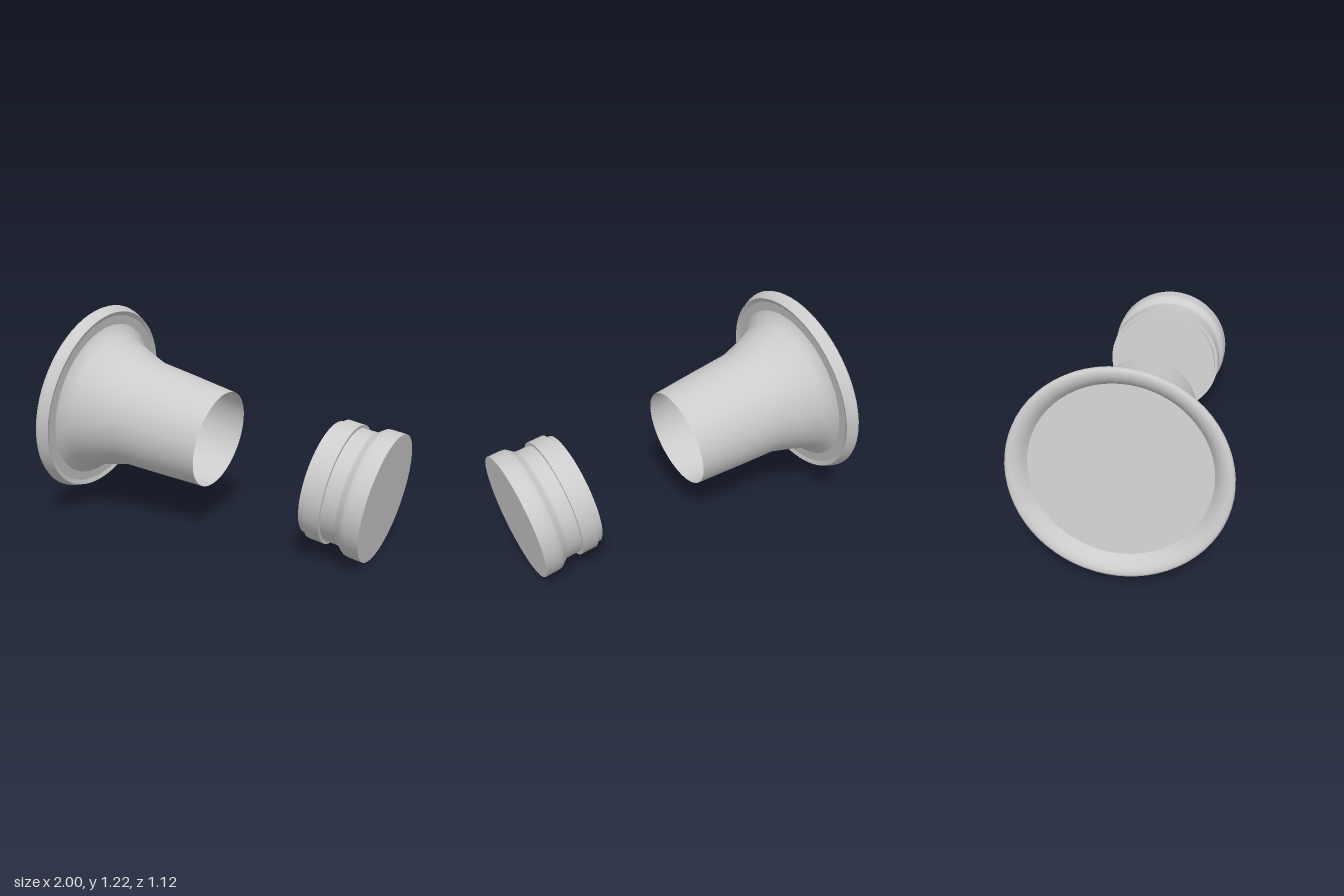
import * as THREE from 'three';

export function createModel() {
  const grey = new THREE.MeshStandardMaterial({ color: 0xcccccc, side: THREE.DoubleSide });
  grey.name = 'light grey';

  // A turned part made of bands: smooth within a band, sharp where bands meet.
  // Each point is [radius, distance along the axis].
  function turned(name, bands) {
    const part = new THREE.Group();
    part.name = name;
    bands.forEach((band, i) => {
      const points = band.map(([r, s]) => new THREE.Vector2(r, s));
      const mesh = new THREE.Mesh(new THREE.LatheGeometry(points, 64), grey);
      mesh.name = `${name}Band${i + 1}`;
      part.add(mesh);
    });
    return part;
  }

  const model = new THREE.Group();
  model.name = 'hornAndCap';

  // Flared tube, open at its narrow end
  const horn = turned('horn', [
    [[0.46, -0.797], [0.444, -0.787], [0.4, -0.746], [0.356, -0.63], [0.315, -0.502], [0.3, -0.27], [0.28, 0]],
  ]);

  // Rounded rim with a dished front and a stepped back
  const rim = turned('rim', [
    [
      [0.46, -0.8], [0.478, -0.828], [0.498, -0.848], [0.521, -0.86], [0.543, -0.863],
      [0.555, -0.857], [0.561, -0.845], [0.557, -0.828], [0.538, -0.787],
    ],
    [[0.538, -0.787], [0.513, -0.797]],
    [[0.513, -0.797], [0.46, -0.797]],
  ]);

  // Flat plate closing the wide end
  const plate = turned('endPlate', [[[0, -0.8], [0.46, -0.8]]]);

  // Separate cap: spigot, raised ring, neck and flared head
  const cap = turned('cap', [
    [[0, 0.657], [0.314, 0.657]],
    [[0.314, 0.657], [0.314, 0.693]],
    [[0.314, 0.693], [0.333, 0.693]],
    [[0.333, 0.693], [0.333, 0.782]],
    [[0.333, 0.782], [0.315, 0.782]],
    [[0.315, 0.782], [0.315, 0.862], [0.322, 0.875], [0.342, 0.9], [0.35, 0.912], [0.353, 0.94], [0.353, 1.008]],
    [[0.353, 1.008], [0, 1.008]],
  ]);

  // Everything shares one axis, tipped ten degrees down towards +x
  const axis = new THREE.Group();
  axis.name = 'tiltedAxis';
  axis.add(horn, rim, plate, cap);
  axis.rotation.z = THREE.MathUtils.degToRad(-100);
  axis.position.set(-0.055, 0.523, 0);
  model.add(axis);
  return model;
}
